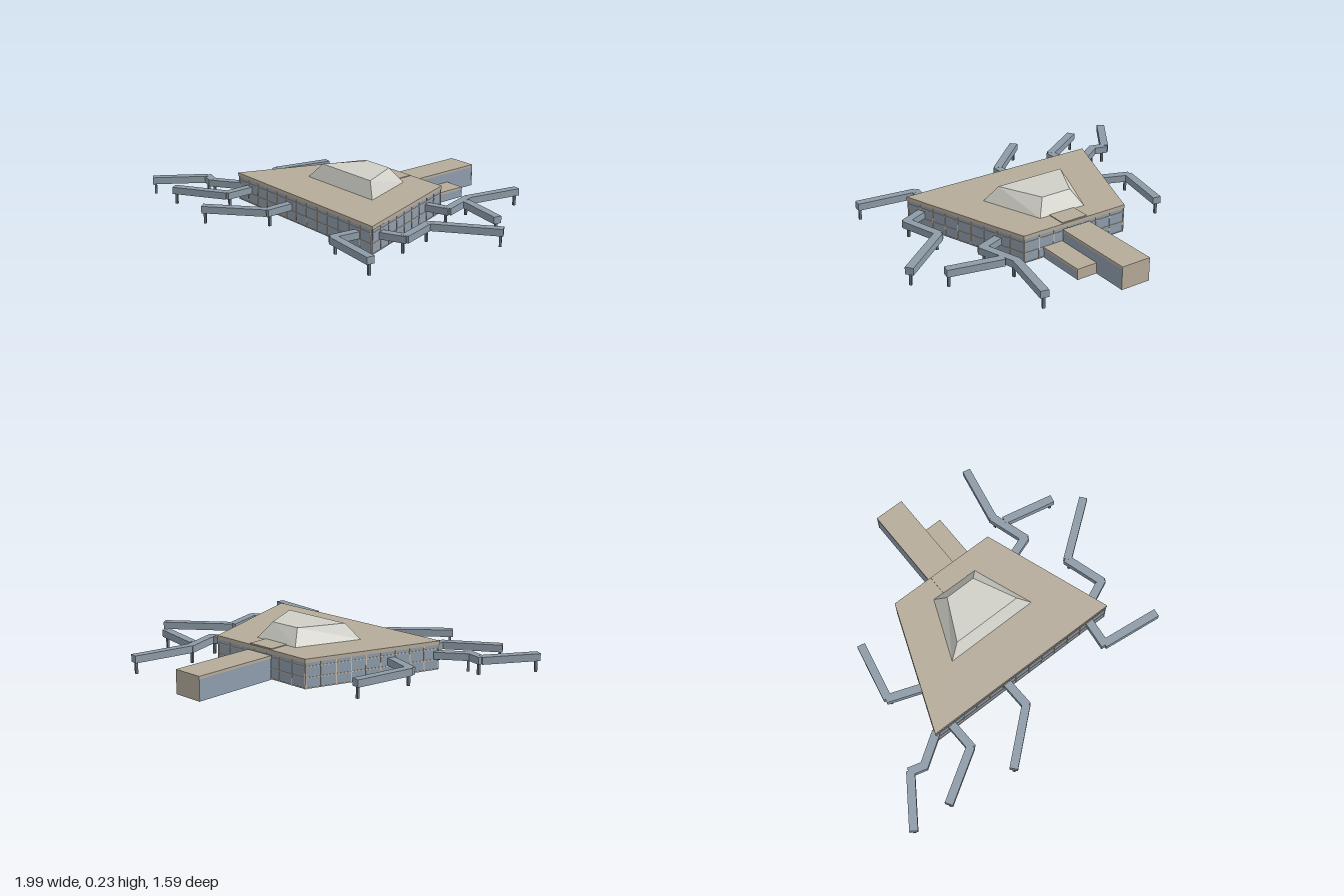
import * as THREE from 'three';

const mat = (name, color) => Object.assign(new THREE.MeshStandardMaterial({ color }), { name });

export function createModel() {
  const group = new THREE.Group();
  const roofTan = mat('roof tan', 0xb5ab9a);
  const glass = mat('blue grey glass', 0x8f9dac);
  const bridgeGrey = mat('bridge grey', 0x8d9ba7);
  const pale = mat('skylight white', 0xcfcfc7);
  const frame = mat('frame beige', 0xccbfae);
  const steel = mat('post steel', 0x66727e);

  const add = (name, geo, material, parent = group) => {
    const m = new THREE.Mesh(geo, material);
    m.name = name;
    parent.add(m);
    return m;
  };

  // Upright box running between two plan points [x, z]
  const beam = (name, a, b, y0, y1, width, material, extend = 0, parent = group) => {
    const dx = b[0] - a[0], dz = b[1] - a[1];
    const m = add(name, new THREE.BoxGeometry(Math.hypot(dx, dz) + extend, y1 - y0, width), material, parent);
    m.position.set((a[0] + b[0]) / 2, (y0 + y1) / 2, (a[1] + b[1]) / 2);
    m.rotation.y = -Math.atan2(dz, dx);
    return m;
  };

  // Four-sided solid between a lower and an upper outline
  const frustum = (low, high, y0, y1) => {
    const L = low.map(p => [p[0], y0, p[1]]), H = high.map(p => [p[0], y1, p[1]]);
    const tris = [H[0], H[2], H[1], H[0], H[3], H[2], L[0], L[1], L[2], L[0], L[2], L[3]];
    for (let i = 0; i < 4; i++) {
      const j = (i + 1) % 4;
      tris.push(L[i], H[i], H[j], L[i], H[j], L[j]);
    }
    const geo = new THREE.BufferGeometry();
    geo.setAttribute('position', new THREE.Float32BufferAttribute(tris.flat(), 3));
    geo.computeVertexNormals();
    return geo;
  };

  // Glazed wall with a grid of thin bars on one side (side 1 = outside, -1 = inside)
  const glazedWall = (name, a, b, top, side) => {
    const wall = new THREE.Group();
    wall.name = name;
    group.add(wall);
    const dx = b[0] - a[0], dz = b[1] - a[1], len = Math.hypot(dx, dz);
    beam('glazing', a, b, 0, top, 0.006, glass, 0, wall);
    const off = 0.004 * side, n = [dz / len * off, -dx / len * off];
    const at = t => [a[0] + dx * t + n[0], a[1] + dz * t + n[1]];
    for (const y of [0.003, 0.055, 0.11]) beam('rail', at(0), at(1), y - 0.002, y + 0.002, 0.004, frame, 0, wall);
    const count = Math.round(len / 0.085);
    for (let i = 0; i <= count; i++) {
      const t = i / count, h = 0.002 / len;
      beam('mullion', at(t - h), at(t + h), 0, top, 0.004, frame, 0, wall);
    }
  };

  // Main hall: roof slab over an open-bottomed ring of walls
  const outline = [[-0.52, -0.41], [0.2, -0.593], [0.555, -0.085], [0.12, 0.518]];
  const centre = [0.09, -0.14];
  const inset = outline.map(p => p.map((v, i) => v + (centre[i] - v) * 0.015));
  add('mainRoof', frustum(outline, outline, 0.13, 0.15), roofTan);
  inset.forEach((p, i) => glazedWall('outerWall', p, inset[(i + 1) % 4], 0.13, 1));

  // Sloped skylight with the glazed atrium beneath it
  const base = [[-0.138, -0.307], [0.21, -0.388], [0.362, -0.165], [0.163, 0.122]];
  const crown = [[-0.064, -0.275], [0.185, -0.315], [0.285, -0.175], [0.16, 0.045]];
  add('skylight', frustum(base, crown, 0.15, 0.23), pale);
  base.forEach((p, i) => glazedWall('atriumWall', p, base[(i + 1) % 4], 0.13, -1));

  // Piers reaching out from the hall
  const pier = (name, a, b, width, height) => {
    const p = new THREE.Group();
    p.name = name;
    group.add(p);
    beam('pierBody', a, b, 0, height - 0.014, width - 0.004, glass, 0, p);
    beam('pierRoof', a, b, height - 0.014, height, width, roofTan, 0, p);
    const len = Math.hypot(b[0] - a[0], b[1] - a[1]);
    const tip = [b[0] + (b[0] - a[0]) / len * 0.003, b[1] + (b[1] - a[1]) / len * 0.003];
    beam('pierEnd', b, tip, 0, height, width, roofTan, 0, p);
  };
  pier('longPier', [0.38, -0.343], [0.757, -0.607], 0.165, 0.123);
  pier('shortPier', [0.455, -0.23], [0.676, -0.386], 0.12, 0.058);
  beam('linkRoof', [0.28, -0.27], [0.372, -0.335], 0.13, 0.154, 0.15, roofTan);

  // Boarding bridges: tip first, then joints towards the hall
  const bridges = [
    [[0, -0.78], [-0.3, -0.65], [-0.255, -0.48]],
    [[-0.995, -0.54], [-0.69, -0.545], [-0.665, -0.475], [-0.5, -0.41]],
    [[-0.87, -0.36], [-0.58, -0.235], [-0.46, -0.325]],
    [[-0.71, -0.025], [-0.375, 0.06], [-0.255, -0.03]],
    [[0.085, 0.78], [-0.07, 0.49], [0.06, 0.42]],
    [[0.78, 0.45], [0.42, 0.335], [0.285, 0.505], [0.175, 0.44]],
    [[0.985, -0.18], [0.69, -0.05], [0.56, 0.115], [0.455, 0.04]],
    [[0.785, 0.28], [0.67, 0.01]],
  ];
  for (const path of bridges) {
    const bridge = new THREE.Group();
    bridge.name = 'boardingBridge';
    group.add(bridge);
    for (let i = 0; i + 1 < path.length; i++) {
      const a = path[i], b = path[i + 1], len = Math.hypot(b[0] - a[0], b[1] - a[1]);
      beam('bridgeTube', a, b, 0.06, 0.098 - i * 0.0005, 0.044, bridgeGrey, i ? 0.02 : 0, bridge);
      // Support post just inside the start of each span
      const at = d => [0, 1].map(k => a[k] + (b[k] - a[k]) * d / len);
      beam('bridgePost', at(0.008), at(0.021), 0, 0.06, 0.013, steel, 0, bridge);
    }
  }
  return group;
}
